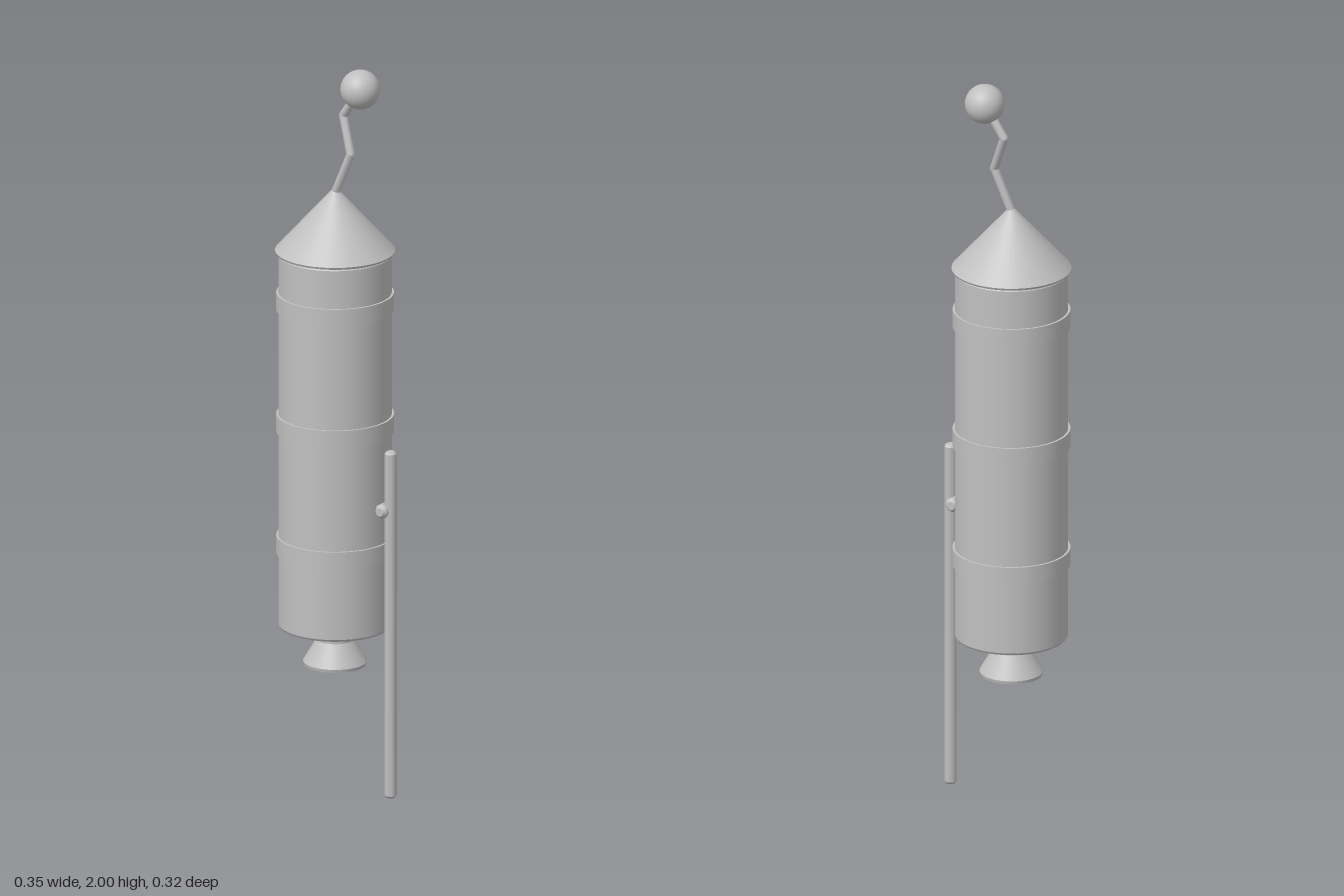
import * as THREE from 'three';

const AXIS_X = -0.02; // the rocket body stands slightly off centre

export function createModel() {
  const model = new THREE.Group();
  const grey = new THREE.MeshStandardMaterial({ color: 0xc0c0c0 });
  grey.name = 'plain grey';

  const add = (name, geometry, x, y, z) => {
    const mesh = new THREE.Mesh(geometry, grey);
    mesh.name = name;
    mesh.position.set(x, y, z);
    model.add(mesh);
    return mesh;
  };

  // Lathe whose listed [radius, y] corners stay sharp: one band per pair
  const turned = (name, profile, segments, x, y, z) => {
    const part = new THREE.Group();
    part.name = name;
    part.position.set(x, y, z);
    for (let i = 0; i < profile.length - 1; i++) {
      const pair = [profile[i], profile[i + 1]].map(([r, h]) => new THREE.Vector2(r, h));
      const mesh = new THREE.Mesh(new THREE.LatheGeometry(pair, segments), grey);
      mesh.name = name + 'Band';
      part.add(mesh);
    }
    model.add(part);
    return part;
  };

  // Straight rod between two points
  const rod = (name, a, b, radius, sides) => {
    const dir = b.clone().sub(a);
    const mid = a.clone().add(b).multiplyScalar(0.5);
    const mesh = add(name, new THREE.CylinderGeometry(radius, radius, dir.length(), sides), mid.x, mid.y, mid.z);
    mesh.quaternion.setFromUnitVectors(new THREE.Vector3(0, 1, 0), dir.normalize());
  };

  // Body tube with small bevels at both ends
  turned('body', [[0, 0.45], [0.146, 0.45], [0.15, 0.456], [0.15, 1.48], [0.146, 1.486], [0, 1.486]],
    48, AXIS_X, 0, 0);

  // Raised bands around the body
  for (const y of [0.677, 1.014, 1.351]) {
    add('bodyBand', new THREE.CylinderGeometry(0.156, 0.156, 0.048, 48), AXIS_X, y, 0);
  }

  // Nose cone with a thin rim
  turned('noseCone', [[0, 1.486], [0.156, 1.486], [0.159, 1.492], [0.008, 1.66], [0, 1.662]],
    48, AXIS_X, 0, 0);

  // Hollow flared nozzle
  turned('nozzle', [[0, 0.405], [0.04, 0.405], [0.078, 0.343], [0.083, 0.343], [0.085, 0.352],
    [0.05, 0.412], [0.05, 0.425], [0.057, 0.45]], 32, AXIS_X, 0, 0);

  // Crooked fuse with rounded joints
  const fuse = [[-0.02, 1.65, 0], [0.03, 1.765, 0], [-0.008, 1.862, -0.021], [0.053, 1.947, -0.011]]
    .map((p) => new THREE.Vector3(...p));
  for (let i = 0; i < fuse.length - 1; i++) {
    rod('fuseSegment', fuse[i], fuse[i + 1], 0.012, 8);
    if (i > 0) add('fuseJoint', new THREE.SphereGeometry(0.012, 8, 6), fuse[i].x, fuse[i].y, fuse[i].z);
  }

  // Ball at the fuse tip
  add('fuseBall', new THREE.SphereGeometry(0.053, 32, 24), 0.053, 1.947, -0.011);

  // Guide stick with bevelled ends
  turned('guideStick', [[0, 0.004], [0.012, 0.004], [0.017, 0.01], [0.017, 0.958], [0.012, 0.964], [0, 0.964]],
    8, 0.158, 0, 0);

  // Short cross peg holding the stick to the body
  turned('stickPeg', [[0, -0.031], [0.012, -0.031], [0.02, -0.022], [0.02, 0.022], [0.012, 0.031], [0, 0.031]],
    8, 0.143, 0.8, 0).rotation.x = Math.PI / 2;

  return model;
}
